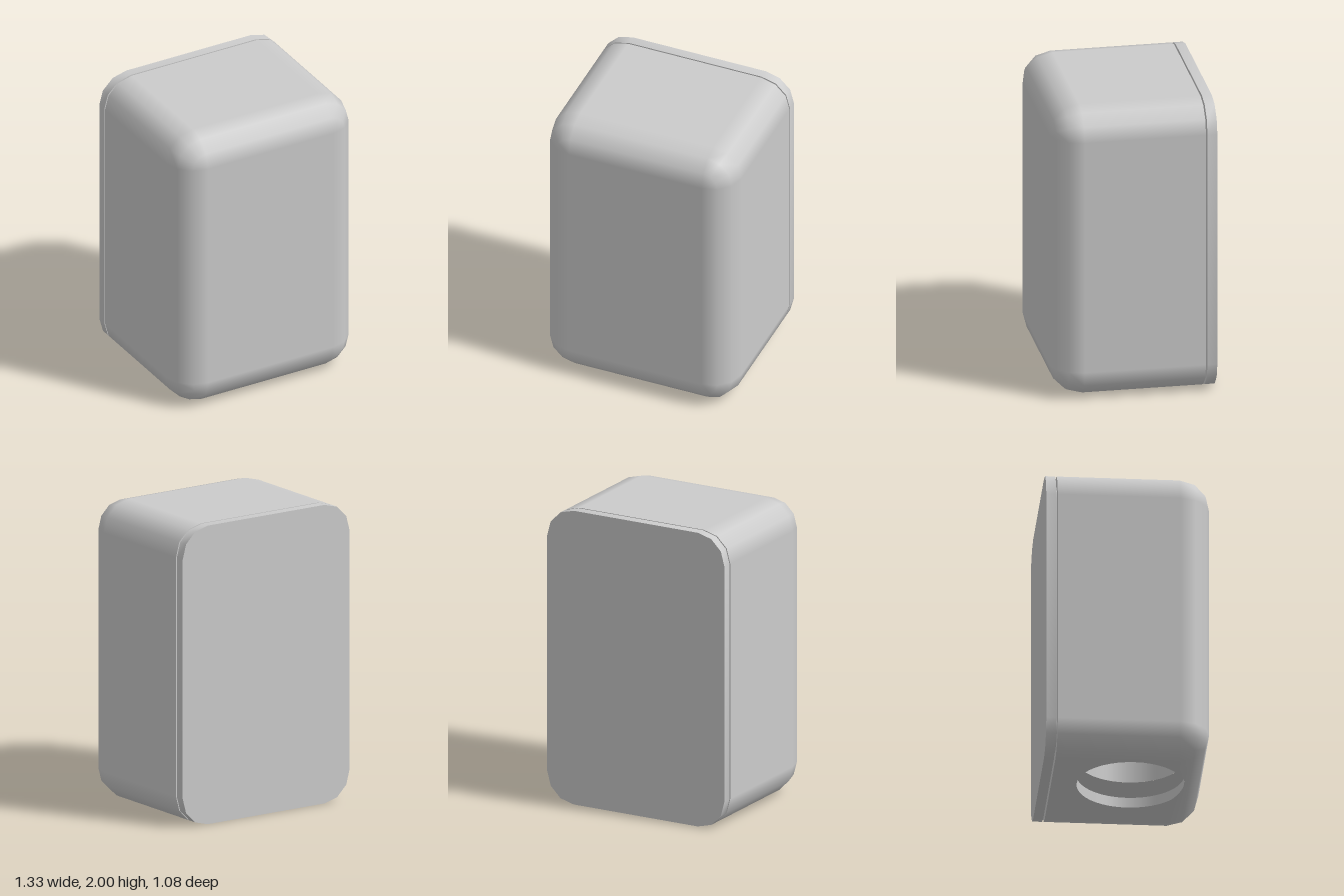
import * as THREE from 'three';
import { toCreasedNormals } from 'three/addons/utils/BufferGeometryUtils.js';

const W = 0.667, R = 0.2, STEPS = 3;           // half width, edge radius, sides per rounded edge
const CX = W - R, CY = 1 - R;                  // corner centres, measured from the middle
const BACK = -0.465, BEND = 0.335;             // body back, start of the front rounding
const HOLE = { x: -0.1, z: 0.05, r: 0.35 };
const SEG = 32;

const grey = (side = THREE.FrontSide, flatShading = false) =>
  new THREE.MeshStandardMaterial({ color: 0xcccccc, side, flatShading });

function add(group, name, geometry, material = grey()) {
  const mesh = new THREE.Mesh(geometry, material);
  mesh.name = name;
  group.add(mesh);
  return mesh;
}

// Corner points of a rounded rectangle, counter-clockwise, with their outward directions
function outline(radius) {
  const points = [];
  [[1, 1], [-1, 1], [-1, -1], [1, -1]].forEach(([sx, sy], corner) => {
    for (let k = 0; k <= STEPS; k++) {
      const t = (corner + k / STEPS) * Math.PI / 2, dx = Math.cos(t), dy = Math.sin(t);
      points.push({ x: sx * CX + radius * dx, y: 1 + sy * CY + radius * dy, dx, dy });
    }
  });
  return points;
}
const outlineShape = (radius) =>
  new THREE.Shape(outline(radius).map((p) => new THREE.Vector2(p.x, p.y)));

// Rounded casing: rings along z, shrinking round the front edge; the underside is left open
function casingGeometry() {
  const rings = [[BACK, 0]];
  for (let i = 0; i <= STEPS; i++) {
    const phi = i / STEPS * Math.PI / 2;
    rings.push([BEND + R * Math.sin(phi), phi]);
  }
  const pos = [], nor = [], index = [], n = 4 * (STEPS + 1);
  rings.forEach(([z, phi], i) => {
    const c = Math.cos(phi);
    outline(R * c).forEach((p, j) => {
      pos.push(p.x, p.y, z);
      nor.push(p.dx * c, p.dy * c, Math.sin(phi));
      const underside = i < 2 && j === 3 * (STEPS + 1) - 1;
      if (i === rings.length - 1 || underside) return;
      const a = i * n + j, b = i * n + (j + 1) % n;
      index.push(a, b, b + n, a, b + n, a + n);
    });
  });
  const f = (rings.length - 1) * n, s = STEPS + 1;
  index.push(f, f + s, f + 2 * s, f, f + 2 * s, f + 3 * s);
  const g = new THREE.BufferGeometry();
  g.setAttribute('position', new THREE.Float32BufferAttribute(pos, 3));
  g.setAttribute('normal', new THREE.Float32BufferAttribute(nor, 3));
  g.setIndex(index);
  return g;
}

// Height of the underside, which rises over the first facet of the front edge
const liftAt = (z) => Math.max(0, z - BEND) * Math.tan(Math.PI / 12);

// Part of the underside, drawn in x and z, with the round opening cut from one side
function undersideGeometry(zEdge, from, to) {
  const points = [new THREE.Vector2(-CX, zEdge), new THREE.Vector2(CX, zEdge), new THREE.Vector2(CX, BEND)];
  for (let i = 0; i <= SEG; i++) {
    const t = from + (to - from) * i / SEG;
    points.push(new THREE.Vector2(HOLE.x + HOLE.r * Math.cos(t), HOLE.z + HOLE.r * Math.sin(t)));
  }
  points.push(new THREE.Vector2(-CX, BEND));
  const g = new THREE.ShapeGeometry(new THREE.Shape(points)).rotateX(Math.PI / 2);
  const p = g.attributes.position;
  for (let i = 0; i < p.count; i++) {
    const z = p.getZ(i), s = Math.max(0, z - BEND) / R;
    p.setY(i, liftAt(z));
    g.attributes.normal.setXYZ(i, 0, -Math.sqrt(1 - s * s), s);
  }
  return g;
}

// Open round wall of the opening between two heights
const wallGeometry = (y0, y1) =>
  new THREE.CylinderGeometry(HOLE.r, HOLE.r, y1 - y0, SEG * 2, 1, true)
    .translate(HOLE.x, (y0 + y1) / 2, HOLE.z);

// Flat plate of the inner chamber with the round opening
function chamberPlate(y) {
  const x = 0.52, z = 0.45;
  const shape = new THREE.Shape([[-x, -z], [x, -z], [x, z], [-x, z]].map((p) => new THREE.Vector2(...p)));
  shape.holes.push(new THREE.Path().absarc(HOLE.x, HOLE.z, HOLE.r, 0, Math.PI * 2, true));
  return new THREE.ShapeGeometry(shape, SEG * 2).rotateX(Math.PI / 2).translate(0, y, 0);
}

function slab(radius, z0, z1) {
  const g = new THREE.ExtrudeGeometry(outlineShape(radius), { depth: z1 - z0, bevelEnabled: false });
  return toCreasedNormals(g.translate(0, 0, z0), 0.7);
}

export function createModel() {
  const model = new THREE.Group();
  model.name = 'roundedCase';
  const both = grey(THREE.DoubleSide);

  // Outer casing
  add(model, 'casing', casingGeometry());
  add(model, 'casingBack', new THREE.ShapeGeometry(outlineShape(R)).rotateY(Math.PI).translate(0, 0, BACK));
  const t = Math.asin((BEND - HOLE.z) / HOLE.r);
  add(model, 'underside', undersideGeometry(BACK, t, -Math.PI - t));
  add(model, 'undersideFrontEdge', undersideGeometry(BEND + R / 2, t, Math.PI - t));

  // Back plate, held off the casing by a smaller lip
  add(model, 'backLip', slab(R - 0.07, -0.476, BACK + 0.001));
  add(model, 'backPlate', slab(R, -0.54, -0.475));

  // Round opening in the underside
  const floorY = 0.07, ceilingY = 0.18, topY = 1.8;
  const rim = wallGeometry(0, floorY), p = rim.attributes.position;
  for (let i = 0; i < p.count; i++) if (p.getY(i) < 0.01) p.setY(i, liftAt(p.getZ(i)));
  add(model, 'openingRim', rim, both);

  // Shallow chamber behind the opening
  add(model, 'chamberFloor', chamberPlate(floorY), both);
  add(model, 'chamberCeiling', chamberPlate(ceilingY), both);
  const walls = new THREE.CylinderGeometry(Math.SQRT2, Math.SQRT2, ceilingY - floorY, 4, 1, true)
    .rotateY(Math.PI / 4).scale(0.52, 1, 0.45).translate(0, (floorY + ceilingY) / 2, 0);
  add(model, 'chamberWalls', walls, grey(THREE.DoubleSide, true));

  // Round shaft rising from the chamber
  add(model, 'shaftWall', wallGeometry(ceilingY, topY), both);
  add(model, 'shaftTop', new THREE.CircleGeometry(HOLE.r, SEG * 2).rotateX(Math.PI / 2)
    .translate(HOLE.x, topY, HOLE.z), both);
  return model;
}
